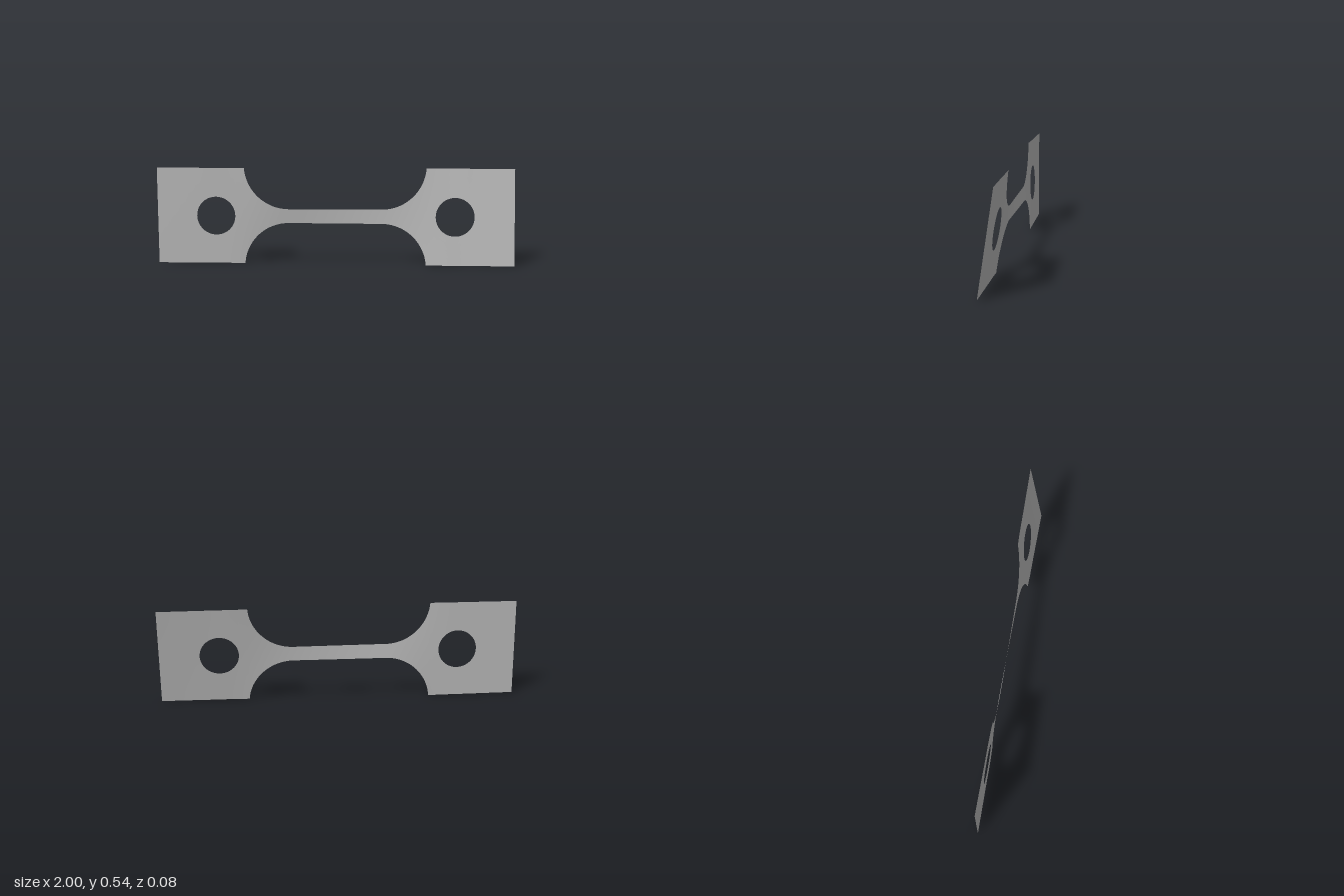
import * as THREE from 'three';
import { mergeGeometries, mergeVertices } from 'three/addons/utils/BufferGeometryUtils.js';

const H = 0.271;                       // half height of the end tabs, also the axis height
const NECK = 0.04;                     // half height of the neck
const FILLET = { x: 0.26, y: 0.29, r: 0.25 };
const HOLE = { x: 0.67, r: 0.108 };
const SHOULDER = 0.509;

// Twist about the long axis, in degrees, along x
const twist = new THREE.CubicInterpolant(
  [-1, -0.75, -0.52, -0.4, -0.27, -0.1, 0.15, 0.3, 0.4, 0.52, 0.75, 1],
  [0, -0.4, -1, -3.2, -5.5, -4, 0, 2.8, 5, 7, 7.8, 8.5], 1, new Float32Array(1));

// Sheet between two height limits, over a list of x positions
function sheet(xs, low, high, rows) {
  const pos = [], index = [];
  for (const x of xs) {
    const a = THREE.MathUtils.degToRad(twist.evaluate(x)[0]);
    for (let j = 0; j <= rows; j++) {
      const v = THREE.MathUtils.lerp(low(x), high(x), j / rows);
      pos.push(x, H + v * Math.cos(a), -v * Math.sin(a));
    }
  }
  const n = rows + 1;
  for (let i = 0; i < xs.length - 1; i++) {
    for (let j = 0; j < rows; j++) {
      const a = i * n + j, b = a + n;
      index.push(a, b, b + 1, a, b + 1, a + 1);
    }
  }
  const g = new THREE.BufferGeometry();
  g.setAttribute('position', new THREE.Float32BufferAttribute(pos, 3));
  g.setIndex(index);
  return g;
}

// Even steps, or steps gathered at both ends for round outlines
const steps = (a, b, n, round = false) => Array.from({ length: n + 1 }, (_, i) =>
  THREE.MathUtils.lerp(a, b, round ? (1 - Math.cos(Math.PI * i / n)) / 2 : i / n));

// Half height of the outline
function outline(x) {
  const ax = Math.abs(x);
  if (ax >= SHOULDER - 1e-6) return H;
  if (ax <= FILLET.x) return NECK;
  return FILLET.y - Math.sqrt(Math.max(0, FILLET.r ** 2 - (ax - FILLET.x) ** 2));
}

export function createModel() {
  const group = new THREE.Group();
  const steel = new THREE.MeshStandardMaterial({ color: 0xb8b8b8, side: THREE.DoubleSide });
  steel.name = 'plain grey steel';

  const bottom = x => -outline(x);
  const pieces = [sheet(steps(-FILLET.x, FILLET.x, 24), bottom, outline, 8)];

  for (const s of [-1, 1]) {
    const span = (a, b, n, round) => steps(s * a, s * b, n, round).sort((p, q) => p - q);
    const hole = x => Math.sqrt(Math.max(0, HOLE.r ** 2 - (x - s * HOLE.x) ** 2));
    const start = HOLE.x - HOLE.r, end = HOLE.x + HOLE.r;
    // Curved shoulder
    const arc = Array.from({ length: 25 }, (_, i) => {
      const t = i / 24 * Math.asin((SHOULDER - FILLET.x) / FILLET.r);
      return s * (FILLET.x + FILLET.r * Math.sin(t));
    }).sort((p, q) => p - q);
    pieces.push(sheet(arc, bottom, outline, 8));
    // Tab on both sides of the hole, then above and below it
    pieces.push(sheet(span(SHOULDER, start, 4), bottom, outline, 8));
    pieces.push(sheet(span(end, 1, 10), bottom, outline, 8));
    const round = span(start, end, 32, true);
    pieces.push(sheet(round, hole, outline, 4));
    pieces.push(sheet(round, bottom, x => -hole(x), 4));
  }

  // Weld the pieces so the shading runs smoothly across them
  const geometry = mergeVertices(mergeGeometries(pieces), 1e-4);
  geometry.computeVertexNormals();
  const plate = new THREE.Mesh(geometry, steel);
  plate.name = 'twistedTestPlate';
  group.add(plate);
  group.name = 'tensileSpecimen';
  return group;
}
